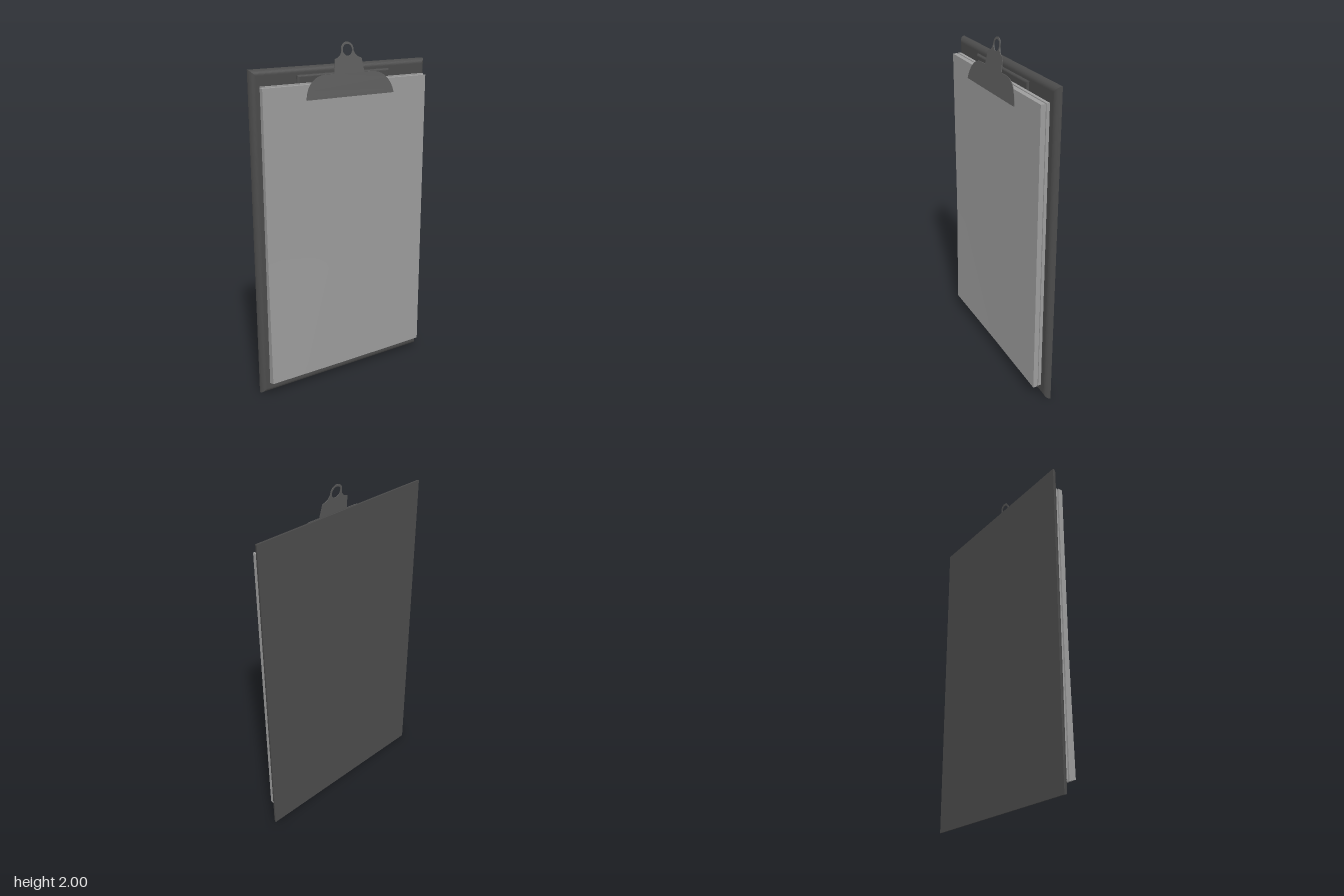
import * as THREE from 'three';

const material = (name, color) => {
  const m = new THREE.MeshStandardMaterial({ color });
  m.name = name;
  return m;
};

// Slab with a flat back and a rounded front rim; corners stay mitred.
function roundedFrontSlab(x, y0, y1, z0, z1, inset, steps) {
  const rings = [];
  for (let i = 0; i <= steps; i++) {
    const a = (i / steps) * Math.PI / 2;
    const d = inset * (1 - Math.cos(a));
    const z = z0 + (z1 - z0) * Math.sin(a);
    rings.push([[-x + d, y0 + d, z], [x - d, y0 + d, z], [x - d, y1 - d, z], [-x + d, y1 - d, z]]);
  }
  const pos = [];
  const quad = (a, b, c, d) => pos.push(...a, ...b, ...c, ...a, ...c, ...d);
  for (let i = 0; i < steps; i++) {
    for (let j = 0; j < 4; j++) {
      const k = (j + 1) % 4;
      quad(rings[i][j], rings[i][k], rings[i + 1][k], rings[i + 1][j]);
    }
  }
  const back = rings[0], front = rings[steps];
  quad(front[0], front[1], front[2], front[3]);
  quad(back[3], back[2], back[1], back[0]);
  const g = new THREE.BufferGeometry();
  g.setAttribute('position', new THREE.Float32BufferAttribute(pos, 3));
  g.computeVertexNormals();
  return g;
}

// Box given by its limits on each axis.
function block(x0, x1, y0, y1, z0, z1, nx = 1, ny = 1) {
  return new THREE.BoxGeometry(x1 - x0, y1 - y0, z1 - z0, nx, ny, 1)
    .translate((x0 + x1) / 2, (y0 + y1) / 2, (z0 + z1) / 2);
}

// Moves every vertex by a rule and refreshes the normals.
function deform(g, rule) {
  const p = g.attributes.position;
  const v = new THREE.Vector3();
  for (let i = 0; i < p.count; i++) {
    rule(v.fromBufferAttribute(p, i));
    p.setXYZ(i, v.x, v.y, v.z);
  }
  g.computeVertexNormals();
  return g;
}

// Clip outline: wide jaw, narrow neck and a hanging ring.
function clipShape() {
  const s = new THREE.Shape();
  s.moveTo(-0.287, 1.71);
  s.lineTo(0.287, 1.71);
  s.bezierCurveTo(0.28, 1.775, 0.235, 1.835, 0.15, 1.835);
  s.lineTo(0.098, 1.835);
  s.lineTo(0.088, 1.912);
  s.quadraticCurveTo(0.048, 1.92, 0.04, 1.952);
  s.absarc(0, 1.96, 0.04, 0, Math.PI, false);
  s.lineTo(-0.04, 1.952);
  s.quadraticCurveTo(-0.048, 1.92, -0.088, 1.912);
  s.lineTo(-0.098, 1.835);
  s.lineTo(-0.15, 1.835);
  s.bezierCurveTo(-0.235, 1.835, -0.28, 1.775, -0.287, 1.71);
  const hole = new THREE.Path();
  hole.absellipse(0, 1.957, 0.031, 0.031, 0, Math.PI * 2, true);
  s.holes.push(hole);
  return s;
}

export function createModel() {
  const group = new THREE.Group();
  const boardGrey = material('board dark grey', 0x4b4b4b);
  const clipGrey = material('clip grey', 0x5a5a5a);
  const paperGrey = material('paper light grey', 0x9c9c9c);

  const add = (name, geometry, mat) => {
    const mesh = new THREE.Mesh(geometry, mat);
    mesh.name = name;
    group.add(mesh);
  };

  // Backing board and the clip's mounting plate
  add('board', roundedFrontSlab(0.577, 0, 1.88, -0.056, -0.023, 0.03, 10), boardGrey);
  add('mountingPlate', roundedFrontSlab(0.305, 1.75, 1.838, -0.023, -0.01, 0.011, 4), boardGrey);

  // Paper: two slightly offset stacks, the front one lifting at its lower corner
  add('backPaperStack', block(-0.53, 0.54, 0.09, 1.795, -0.01, 0.008), paperGrey);
  const frontStack = deform(block(-0.54, 0.533, 0.08, 1.79, 0.008, 0.036, 16, 24), (v) => {
    if (v.z < 0.02) return;
    const lift = THREE.MathUtils.clamp(-v.x / 0.54, 0, 1) * THREE.MathUtils.clamp((0.8 - v.y) / 0.72, 0, 1);
    v.z += 0.012 * lift;
    v.y += 0.012 * lift;
  });
  add('frontPaperStack', frontStack, paperGrey);

  // Clip: thin sheet leaning back towards the top
  const clip = new THREE.ExtrudeGeometry(clipShape(), { depth: 0.004, bevelEnabled: false, curveSegments: 20 });
  deform(clip, (v) => { v.z += 0.051 - (v.y - 1.71) * 0.175; });
  add('clip', clip, clipGrey);

  return group;
}
